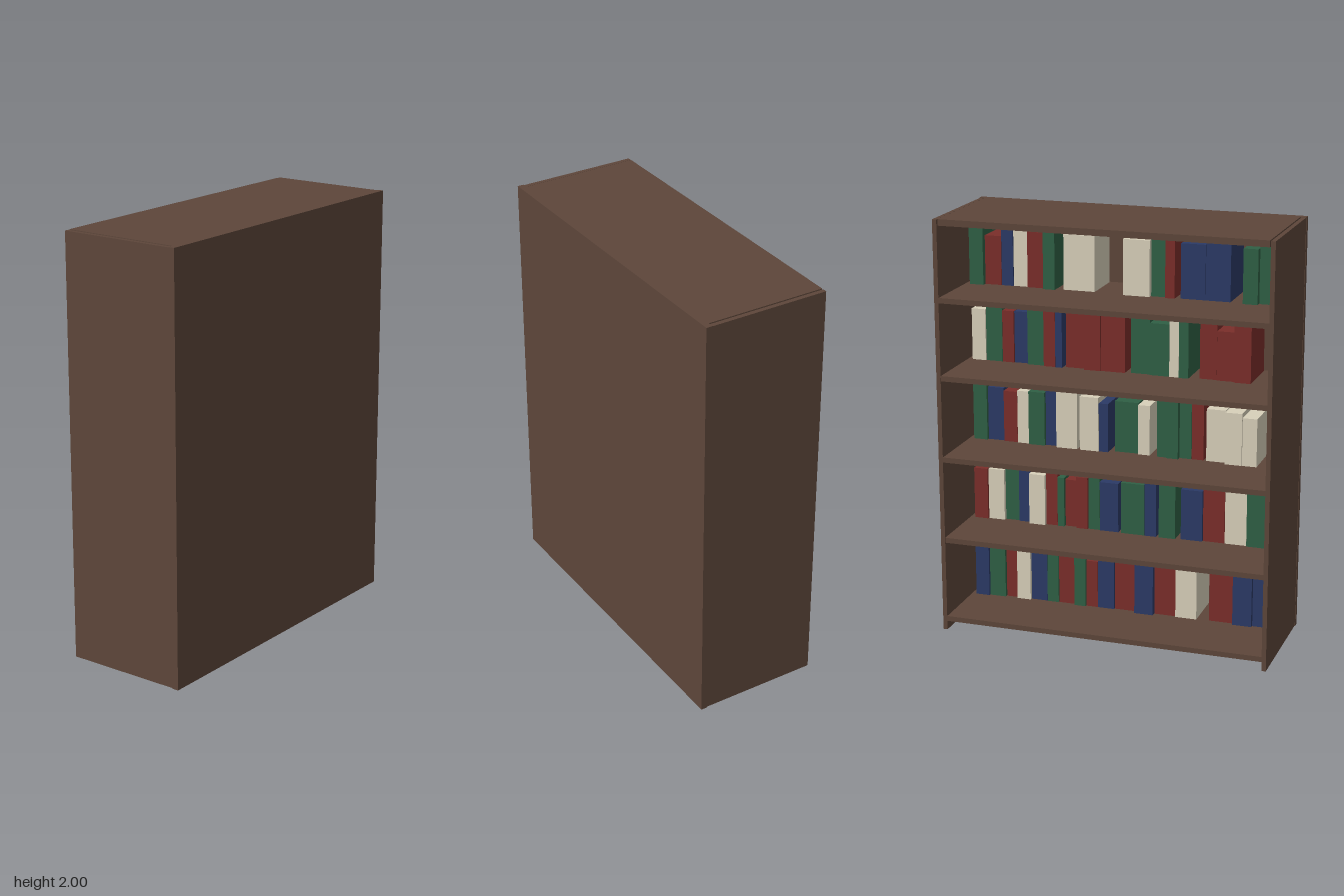
import * as THREE from 'three';

const material = (name, color) => {
  const m = new THREE.MeshStandardMaterial({ color });
  m.name = name;
  return m;
};

export function createModel() {
  const model = new THREE.Group();
  model.name = 'bookcase';
  const wood = material('dark wood', 0x5d463a);
  const covers = {
    c: material('cream cover', 0xd8d0ba),
    r: material('red cover', 0x7a2e2a),
    g: material('green cover', 0x2f6045),
    b: material('blue cover', 0x2b3a66),
  };

  // Box given by its limits on each axis
  function box(name, mat, [x0, x1], [y0, y1], [z0, z1], parent = model) {
    const mesh = new THREE.Mesh(new THREE.BoxGeometry(x1 - x0, y1 - y0, z1 - z0), mat);
    mesh.position.set((x0 + x1) / 2, (y0 + y1) / 2, (z0 + z1) / 2);
    mesh.name = name;
    parent.add(mesh);
  }

  // Case: full back panel, two sides and a top set in with a fine joint, open towards -x
  box('backPanel', wood, [0.27, 0.3], [0, 2], [-0.8, 0.8]);
  box('sidePanelBack', wood, [-0.3, 0.27], [0.002, 1.998], [-0.798, -0.777]);
  box('sidePanelFront', wood, [-0.3, 0.27], [0.002, 1.998], [0.777, 0.798]);
  box('topPanel', wood, [-0.298, 0.27], [1.97, 2], [-0.772, 0.772]);

  let seed = 7;
  const random = () => {
    seed = (seed * 16807) % 2147483647;
    return seed / 2147483647;
  };

  // Books along each shelf: cover colour and thickness; _ is an empty space
  const unit = 0.01185;
  const rows = [
    'b6 g7 r5 c6 b7 g5 r7 g5 r5 b7 r9 b8 r9 c9 _5 r10 b8 b8',
    'r6 c7 g6 b5 c7 r5 g3 r5 r5 g5 b8 _1 g10 b5 _1 g7 _2 b9 r9 c9 g8',
    'g6 b7 r6 c5 g7 b5 c9 _1 c8 b4 _2 g10 c5 _3 g4 g5 g5 r5 _1 c8 c7 c6',
    'c6 g7 r5 b6 g7 r5 b3 _1 r8 r7 r10 _2 g8 g8 c4 g4 _4 r7 r7 r7',
    'g6 r7 b5 c6 r7 g5 _3 c13 _12 c11 g6 r4 _2 b10 b10 _5 g6 g6',
  ];
  const heights = [0.045, 0.445, 0.845, 1.24, 1.61];

  heights.forEach((y, i) => {
    box('shelf' + (i + 1), wood, [-0.298, 0.27], [y, y + 0.025], [-0.777, 0.777]);
    const row = new THREE.Group();
    row.name = 'bookRow' + (i + 1);
    model.add(row);
    let z = -0.755;
    for (const entry of rows[i].split(' ')) {
      const width = Number(entry.slice(1)) * unit;
      const cover = covers[entry[0]];
      if (cover) {
        const front = 0.015 + random() * 0.03;
        const height = 0.23 + random() * 0.08;
        box('book', cover, [front, 0.26],
          [y + 0.025, y + 0.025 + height], [z + 0.001, z + width - 0.001], row);
      }
      z += width;
    }
  });
  return model;
}
